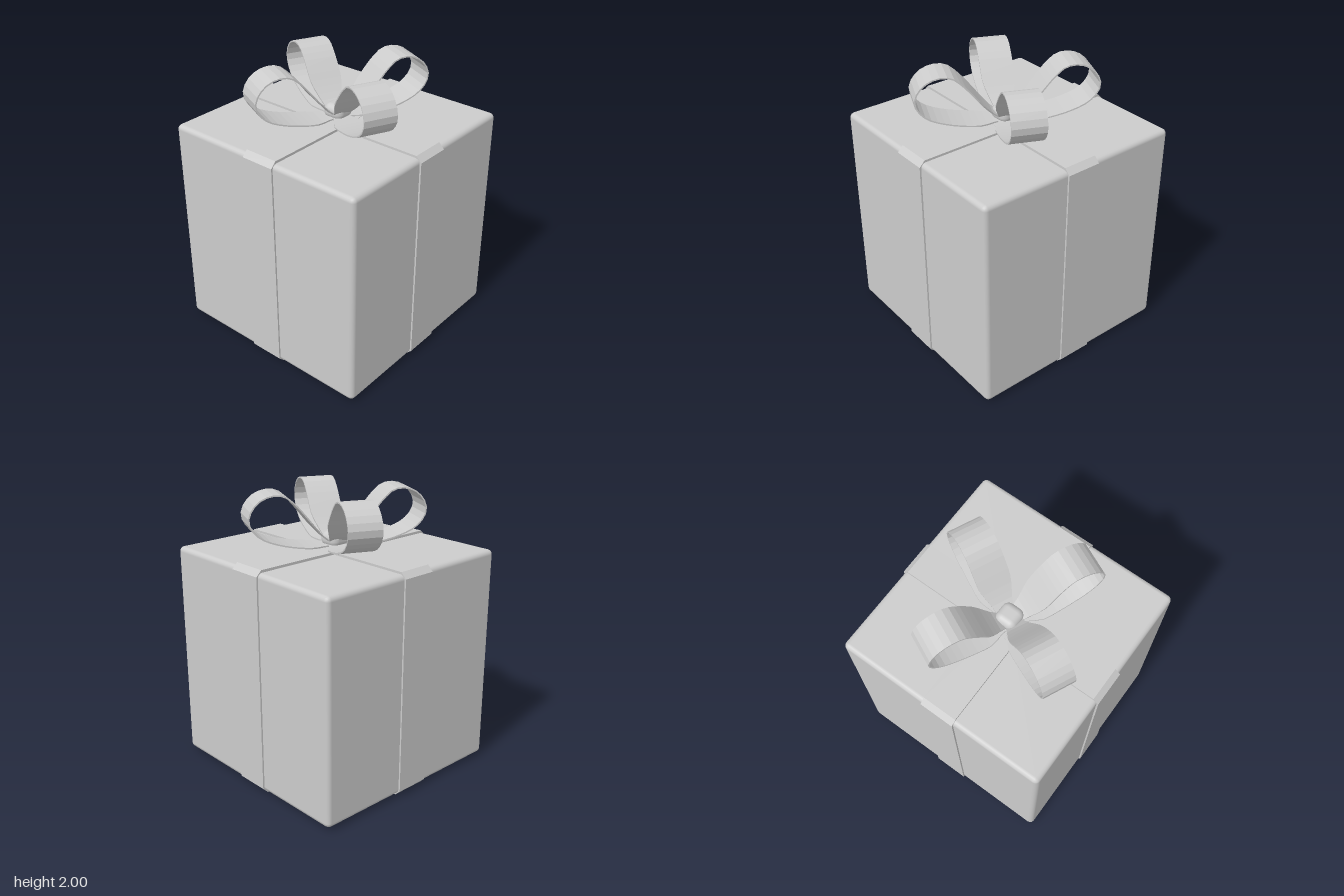
import * as THREE from 'three';
import { RoundedBoxGeometry } from 'three/addons/geometries/RoundedBoxGeometry.js';

const material = new THREE.MeshStandardMaterial({ color: 0xcccccc });

function addMesh(parent, name, geometry) {
  const mesh = new THREE.Mesh(geometry, material);
  mesh.name = name;
  parent.add(mesh);
  return mesh;
}

// Rectangle outline with chamfered corners, centred on the origin
function chamferedRect(PathType, hw, hh, c) {
  const path = new PathType();
  path.setFromPoints([
    [-hw + c, -hh], [hw - c, -hh], [hw, -hh + c], [hw, hh - c],
    [hw - c, hh], [-hw + c, hh], [-hw, hh - c], [-hw, -hh + c],
  ].map(([x, y]) => new THREE.Vector2(x, y)));
  path.closePath();
  return path;
}

// Flat ribbon wrapped once around the box
function wrapGeometry(hw, hh, width) {
  const shape = chamferedRect(THREE.Shape, hw, hh, 0.04);
  shape.holes.push(chamferedRect(THREE.Path, hw - 0.02, hh - 0.02, 0.035));
  const geometry = new THREE.ExtrudeGeometry(shape, { depth: width, bevelEnabled: false });
  return geometry.translate(0, 0, -width / 2);
}

// Thin ribbon swept along a teardrop in the xy plane, pinched near the knot
function bowLoopGeometry() {
  const profile = [
    [0, 1.611], [0.15, 1.613], [0.3, 1.63], [0.43, 1.66], [0.54, 1.705],
    [0.605, 1.765], [0.632, 1.835], [0.605, 1.915], [0.54, 1.975], [0.46, 2],
    [0.38, 1.99], [0.31, 1.935], [0.24, 1.855], [0.16, 1.755], [0.08, 1.67], [0.02, 1.635],
  ].map(([x, y]) => new THREE.Vector3(x, y, 0));
  const curve = new THREE.CatmullRomCurve3(profile);
  const steps = 32, thickness = 0.01;
  const positions = [], indices = [];
  for (let i = 0; i <= steps; i++) {
    const p = curve.getPointAt(i / steps);
    const t = curve.getTangentAt(i / steps);
    const half = THREE.MathUtils.lerp(0.06, 0.116, THREE.MathUtils.smoothstep(p.x, 0.04, 0.22));
    // the inner side of the loop lies to the left of the direction of travel
    const ix = p.x - t.y * thickness, iy = p.y + t.x * thickness;
    positions.push(p.x, p.y, -half, p.x, p.y, half, ix, iy, half, ix, iy, -half);
    if (i === steps) break;
    for (let k = 0; k < 4; k++) {
      const a = i * 4 + k, b = i * 4 + (k + 1) % 4;
      indices.push(a, a + 4, b, b, a + 4, b + 4);
    }
  }
  const end = steps * 4;
  indices.push(0, 1, 2, 0, 2, 3, end, end + 2, end + 1, end, end + 3, end + 2);
  const geometry = new THREE.BufferGeometry();
  geometry.setAttribute('position', new THREE.Float32BufferAttribute(positions, 3));
  geometry.setIndex(indices);
  const faceted = geometry.toNonIndexed();
  faceted.computeVertexNormals();
  return faceted;
}

export function createModel() {
  const model = new THREE.Group();
  model.name = 'giftBox';

  // Box with softened edges
  addMesh(model, 'box', new RoundedBoxGeometry(1.55, 1.565, 1.55, 2, 0.035)).position.y = 0.8;

  // Two crossing ribbons
  addMesh(model, 'ribbonAcross', wrapGeometry(0.787, 0.798, 0.25)).position.y = 0.8;
  const second = addMesh(model, 'ribbonFrontToBack', wrapGeometry(0.787, 0.8, 0.25));
  second.position.y = 0.8;
  second.rotation.y = Math.PI / 2;

  // Bow of four loops around a small knot
  const bow = new THREE.Group();
  bow.name = 'bow';
  model.add(bow);
  const loop = bowLoopGeometry();
  for (let i = 0; i < 4; i++) {
    addMesh(bow, 'bowLoop', loop).rotation.y = THREE.MathUtils.degToRad(-25) + i * Math.PI / 2;
  }
  addMesh(bow, 'knot', new RoundedBoxGeometry(0.16, 0.11, 0.16, 4, 0.05)).position.y = 1.65;

  return model;
}
